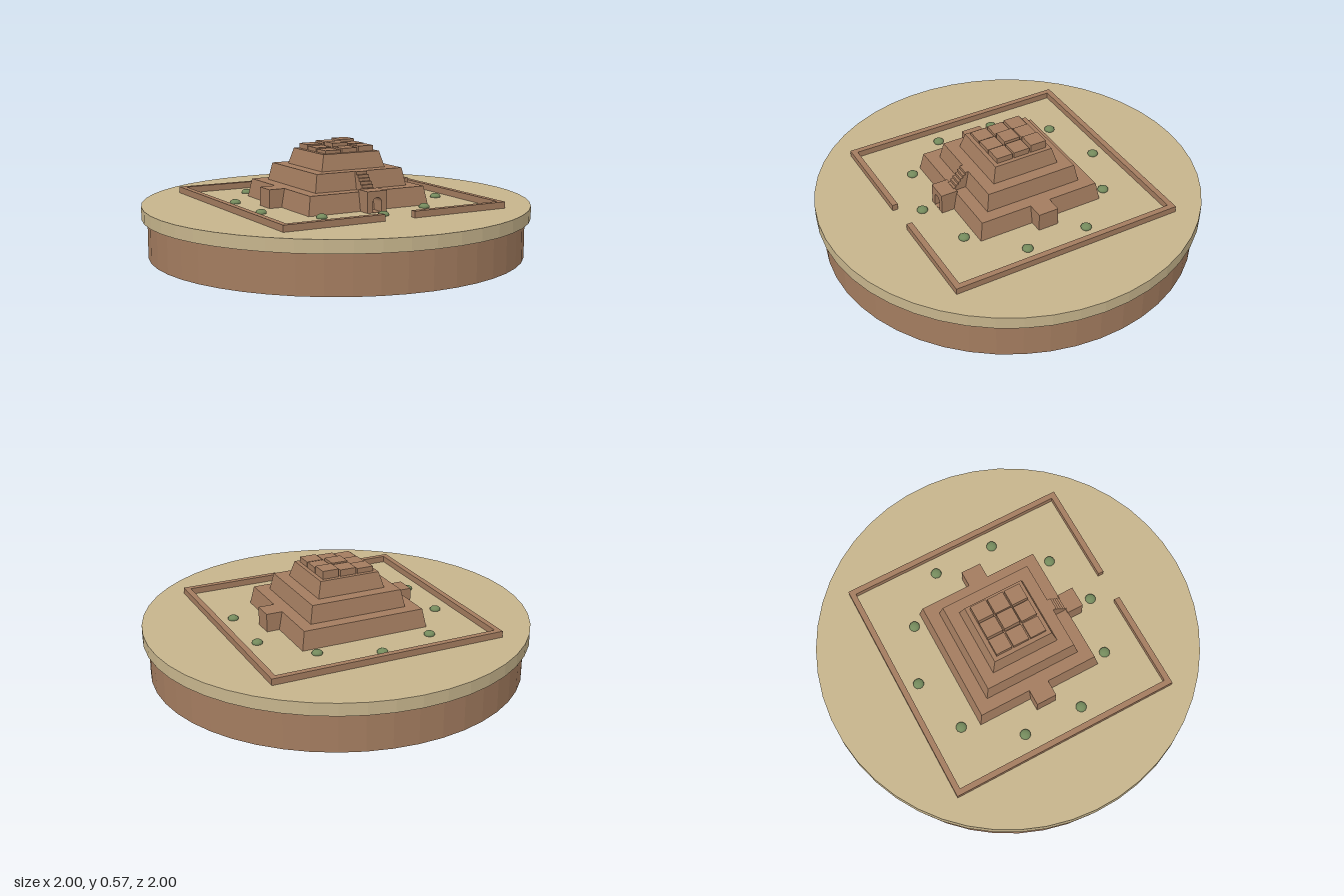
import * as THREE from 'three';

const GROUND = 0.265;

export function createModel() {
  const clay = new THREE.MeshStandardMaterial({ color: 0xa37c5f });
  clay.name = 'clay brick';
  const sand = new THREE.MeshStandardMaterial({ color: 0xc6b48c });
  sand.name = 'sand';
  const leaf = new THREE.MeshStandardMaterial({ color: 0x748a5c });
  leaf.name = 'shrub green';

  const model = new THREE.Group();
  model.name = 'steppedTempleDiorama';
  // Everything inside the enclosure is turned together
  const precinct = new THREE.Group();
  precinct.name = 'precinct';
  precinct.rotation.y = -THREE.MathUtils.degToRad(20);
  model.add(precinct);

  const add = (parent, name, geometry, material, x = 0, y = 0, z = 0) => {
    const mesh = new THREE.Mesh(geometry, material);
    mesh.name = name;
    mesh.position.set(x, y, z);
    parent.add(mesh);
    return mesh;
  };
  const flat = (geometry) => {
    const g = geometry.toNonIndexed();
    g.computeVertexNormals();
    return g;
  };
  // Box standing on height y
  const box = (name, w, h, d, x, y, z) =>
    add(precinct, name, new THREE.BoxGeometry(w, h, d), clay, x, y + h / 2, z);

  // Round display base and sandy ground
  add(model, 'base', flat(new THREE.CylinderGeometry(0.97, 0.97, 0.2, 48)), clay, 0, 0.1, 0);
  add(model, 'ground', flat(new THREE.CylinderGeometry(1, 1, GROUND - 0.2, 48)), sand, 0, (GROUND + 0.2) / 2, 0);

  // Three sloping terraces: bottom half-width, top half-width, bottom, top
  const terraces = [
    [0.343, 0.326, GROUND, 0.36],
    [0.262, 0.245, 0.36, 0.45],
    [0.183, 0.161, 0.45, 0.532],
  ];
  terraces.forEach(([bottom, top, y0, y1], i) => {
    const g = new THREE.CylinderGeometry(top * Math.SQRT2, bottom * Math.SQRT2, y1 - y0, 4);
    g.rotateY(Math.PI / 4);
    add(precinct, `terrace${i + 1}`, flat(g), clay, 0, (y0 + y1) / 2, 0);
  });

  // Summit blocks, three by three with uneven heights
  const heights = [
    [0.026, 0.034, 0.042],
    [0.02, 0.038, 0.03],
    [0.016, 0.022, 0.028],
  ];
  heights.forEach((row, j) => row.forEach((h, i) =>
    box('summitBlock', 0.087, h, 0.087, (i - 1) * 0.096, 0.532, (j - 1) * 0.096)));

  // Gatehouse with an arched doorway
  const front = new THREE.Shape();
  front.moveTo(-0.055, 0);
  front.lineTo(0.055, 0);
  front.lineTo(0.055, 0.107);
  front.lineTo(-0.055, 0.107);
  front.closePath();
  const arch = new THREE.Path();
  arch.moveTo(-0.025, 0.002);
  arch.lineTo(0.025, 0.002);
  arch.lineTo(0.025, 0.05);
  arch.absarc(0, 0.05, 0.025, 0, Math.PI, false);
  arch.closePath();
  front.holes.push(arch);
  const gate = new THREE.ExtrudeGeometry(front, { depth: 0.088, bevelEnabled: false, curveSegments: 8 });
  add(precinct, 'gatehouse', gate, clay, 0, GROUND, 0.322);

  // Side annexes
  for (const side of [-1, 1]) box('annex', 0.1, 0.095, 0.108, side * 0.36, GROUND, 0);

  // Stair climbing the second terrace
  const steps = 6;
  for (let i = 0; i < steps; i++) {
    const z1 = 0.33 - i * 0.0135;
    box('stairStep', 0.062, (i + 1) * 0.09 / steps, z1 - 0.24, 0, 0.36, (z1 + 0.24) / 2);
  }

  // Enclosure wall with an opening at the front
  const outer = 0.62, t = 0.03, wallH = 0.033, gap = 0.083;
  const mid = outer - t / 2;
  box('backWall', outer * 2, wallH, t, 0, GROUND, -mid);
  for (const side of [-1, 1]) {
    box('sideWall', t, wallH, (outer - t) * 2, side * mid, GROUND, 0);
    box('frontWall', outer - gap, wallH, t, side * (outer + gap) / 2, GROUND, mid);
  }

  // Ring of low shrubs
  const shrubs = [
    [-0.14, -0.515], [0.18, -0.49], [0.41, -0.275], [0.53, 0.022], [0.415, 0.335],
    [0.125, 0.475], [-0.178, 0.455], [-0.425, 0.275], [-0.525, -0.03], [-0.408, -0.328],
  ];
  const shrub = new THREE.SphereGeometry(0.028, 12, 8);
  shrub.scale(1, 0.6, 1);
  for (const [x, z] of shrubs) add(model, 'shrub', shrub, leaf, x, GROUND + 0.005, z);

  return model;
}
